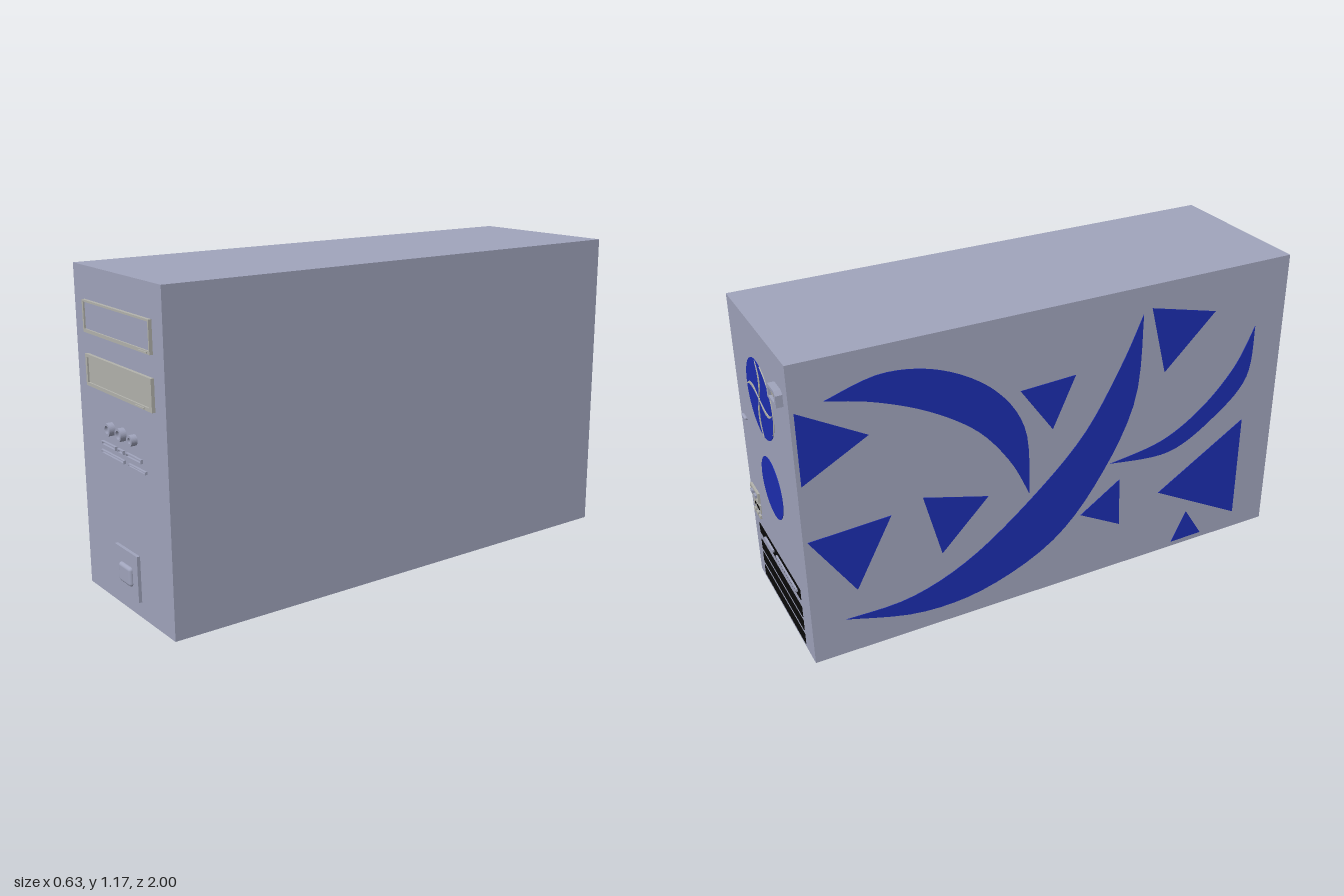
import * as THREE from 'three';
import { RoundedBoxGeometry } from 'three/addons/geometries/RoundedBoxGeometry.js';

const material = (color) => new THREE.MeshStandardMaterial({ color });
const W = 0.63, H = 1.17, FACE = 0.975;

export function createModel() {
  const model = new THREE.Group();
  const shell = material(0xa0a4bc), trim = material(0xb2b2ac);
  const blue = material(0x1c2db0), black = material(0x0a0a0a);

  const add = (parent, name, geometry, mat, x = 0, y = 0, z = 0) => {
    const mesh = new THREE.Mesh(geometry, mat);
    mesh.name = name;
    mesh.position.set(x, y, z);
    parent.add(mesh);
    return mesh;
  };
  // Panels: local z = 0 is the case wall, +z points outward
  const panel = (name, turn) => {
    const g = new THREE.Group();
    g.name = name;
    g.rotation.y = turn;
    g.position.z = turn ? -FACE : FACE;
    model.add(g);
    return g;
  };
  const plate = (parent, name, mat, x0, x1, y0, y1, z0, z1) =>
    add(parent, name, new THREE.BoxGeometry(x1 - x0, y1 - y0, z1 - z0), mat,
      (x0 + x1) / 2, (y0 + y1) / 2, (z0 + z1) / 2);
  const disc = (parent, name, mat, x, y, r, depth, z = 0) =>
    add(parent, name, new THREE.CylinderGeometry(r, r, depth, 40).rotateX(Math.PI / 2), mat, x, y, z + depth / 2);
  const extrude = (shape, depth) =>
    new THREE.ExtrudeGeometry(shape, { depth, bevelEnabled: false, curveSegments: 32 });
  const rect = (C, x0, x1, y0, y1) => new C().moveTo(x0, y0).lineTo(x1, y0).lineTo(x1, y1).lineTo(x0, y1).closePath();
  const frame = (parent, name, mat, o, i, depth) => {
    const shape = rect(THREE.Shape, ...o);
    shape.holes.push(rect(THREE.Path, ...i));
    return add(parent, name, extrude(shape, depth), mat);
  };
  const vectors = (pts) => pts.map(([x, y]) => new THREE.Vector2(x, y));
  // Pointed blade bounded by two smooth edges
  const crescent = (outer, inner) => new THREE.Shape([
    ...new THREE.SplineCurve(vectors(outer)).getPoints(28),
    ...new THREE.SplineCurve(vectors([outer.at(-1), ...inner, outer[0]])).getPoints(28).slice(1, -1),
  ]);

  plate(model, 'case', shell, -W / 2, W / 2, 0, H, -FACE, FACE);

  // Front panel: two drive bays
  const front = panel('frontPanel', 0);
  frame(front, 'upperDriveFrame', trim, [-0.235, 0.245, 0.943, 1.055], [-0.226, 0.239, 0.955, 1.048], 0.012);
  plate(front, 'upperDriveDoor', shell, -0.226, 0.239, 0.955, 1.048, 0, 0.006);
  plate(front, 'upperDriveButton', trim, 0.175, 0.23, 0.946, 0.951, 0, 0.016);
  frame(front, 'lowerDriveFrame', trim, [-0.232, 0.245, 0.757, 0.868], [-0.22, 0.226, 0.769, 0.857], 0.012);
  plate(front, 'lowerDriveDoor', trim, -0.22, 0.226, 0.769, 0.857, 0, 0.006);
  plate(front, 'lowerDriveButton', trim, 0.135, 0.195, 0.76, 0.765, 0, 0.016);

  // Round sockets with a raised rim
  for (const [x, r, hole] of [[-0.073, 0.023, 0.014], [0.01, 0.023, 0.015], [0.092, 0.019, 0.01]]) {
    const ring = new THREE.Shape().absarc(0, 0, r, 0, Math.PI * 2);
    ring.holes.push(new THREE.Path().absarc(0, 0, hole, 0, Math.PI * 2));
    add(front, 'socketRim', extrude(ring, 0.022), shell, x, 0.633);
    disc(front, 'socketCore', shell, x, 0.633, hole, 0.012);
  }

  // Narrow port strips
  for (const [x0, x1, y, h] of [[-0.148, -0.043, 0.57, 0.014], [-0.027, 0.015, 0.57, 0.014],
    [0.035, 0.142, 0.57, 0.014], [-0.155, 0.018, 0.538, 0.012], [0.05, 0.17, 0.538, 0.01]]) {
    frame(front, 'portFrame', shell, [x0, x1, y - h / 2, y + h / 2],
      [x0 + 0.004, x1 - 0.004, y - h / 2 + 0.003, y + h / 2 - 0.003], 0.009);
  }

  // Power button
  plate(front, 'powerPlate', shell, -0.078, 0.087, 0.058, 0.224, 0, 0.012);
  add(front, 'powerButton', new RoundedBoxGeometry(0.088, 0.07, 0.025, 3, 0.012), shell, 0.006, 0.138, 0.0115);

  // Rear panel, with x mirrored by the half turn
  const rear = panel('rearPanel', Math.PI);
  const fan = new THREE.Group();
  fan.name = 'upperFan';
  fan.position.set(-0.018, 0.897, 0);
  rear.add(fan);
  disc(fan, 'fanDisc', blue, 0, 0, 0.145, 0.002);
  const arm = crescent([[0, 0], [0.03, 0.05], [0.033, 0.1], [0.01, 0.144]], [[0.024, 0.1], [0.019, 0.052]]);
  for (let i = 0; i < 4; i++) {
    add(fan, 'fanArm', extrude(arm, 0.005), trim).rotation.z = i * Math.PI / 2 + 0.1;
  }
  disc(fan, 'fanHub', trim, 0, 0, 0.008, 0.005);
  add(fan, 'fanRim', new THREE.TorusGeometry(0.144, 0.003, 8, 32, Math.PI * 0.6), trim).rotation.z = -0.6;
  disc(rear, 'lowerFan', blue, 0.006, 0.556, 0.115, 0.002);

  // Power inlet with chamfered corners and three pins
  const inlet = new THREE.Shape(vectors([[0.175, 1.005], [0.265, 1.005], [0.265, 1.047],
    [0.252, 1.06], [0.188, 1.06], [0.175, 1.047]]));
  inlet.holes.push(rect(THREE.Path, 0.19, 0.25, 1.016, 1.049));
  add(rear, 'powerInlet', extrude(inlet, 0.024), shell);
  for (const x of [0.203, 0.22, 0.237]) plate(rear, 'inletPin', trim, x - 0.003, x + 0.003, 1.024, 1.04, 0, 0.018);

  // Small connectors
  add(rear, 'latch', new RoundedBoxGeometry(0.042, 0.014, 0.014, 2, 0.006), shell, -0.26, 0.711, 0.003);
  frame(rear, 'stackedPort', trim, [-0.292, -0.198, 0.372, 0.415], [-0.284, -0.206, 0.38, 0.407], 0.009);
  for (const x of [-0.265, -0.225]) plate(rear, 'portTongue', shell, x - 0.011, x + 0.011, 0.387, 0.4, 0, 0.014);
  plate(rear, 'networkPort', trim, -0.285, -0.198, 0.325, 0.362, 0, 0.004);
  for (const x of [-0.255, -0.23, -0.214]) plate(rear, 'networkContact', black, x - 0.005, x + 0.005, 0.338, 0.35, 0, 0.006);
  for (const x of [-0.275, -0.245, -0.215]) plate(rear, 'audioPort', trim, x - 0.009, x + 0.009, 0.298, 0.311, 0, 0.007);

  // Expansion slots, the top one fitted with two connectors
  for (const y of [0.233, 0.158, 0.098, 0.037]) plate(rear, 'expansionSlot', black, -0.253, 0.216, y - 0.022, y + 0.022, 0, 0.002);
  plate(rear, 'shortConnector', shell, -0.173, -0.075, 0.23, 0.24, 0, 0.01);
  plate(rear, 'longConnector', shell, -0.04, 0.19, 0.23, 0.24, 0, 0.008);

  // Decorated side: outlines given as (z, y)
  const triangles = [
    [[-0.96, 1.0], [-0.72, 0.86], [-0.96, 0.73]], [[0.37, 1.08], [0.65, 1.01], [0.44, 0.81]],
    [[-0.16, 0.88], [0.06, 0.89], [-0.03, 0.695]], [[-0.54, 0.56], [-0.29, 0.49], [-0.475, 0.305]],
    [[-0.96, 0.51], [-0.66, 0.525], [-0.8, 0.26]], [[0.264, 0.395], [0.272, 0.19], [0.097, 0.286]],
    [[0.826, 0.508], [0.826, 0.074], [0.448, 0.28]], [[0.59, 0.148], [0.668, 0.023], [0.527, 0.021]],
  ];
  const decals = triangles.map((t) => new THREE.Shape(vectors(t)));
  decals.push(
    crescent([[-0.86, 1.02], [-0.66, 1.07], [-0.45, 1.03], [-0.255, 0.905], [-0.14, 0.72], [-0.123, 0.45]],
      [[-0.2, 0.607], [-0.325, 0.765], [-0.5, 0.888], [-0.69, 0.973]]),
    crescent([[-0.85, 0.148], [-0.57, 0.074], [-0.3, 0.09], [-0.02, 0.213], [0.176, 0.434], [0.316, 0.726], [0.334, 1.064]],
      [[0.246, 0.875], [0.097, 0.632], [-0.123, 0.42], [-0.37, 0.242], [-0.606, 0.154]]),
    crescent([[0.844, 0.908], [0.826, 0.697], [0.685, 0.556], [0.483, 0.456], [0.22, 0.478]],
      [[0.448, 0.515], [0.624, 0.613], [0.764, 0.755]]),
  );
  const side = new THREE.Group();
  side.name = 'sideDecoration';
  side.position.x = -W / 2;
  side.rotation.y = -Math.PI / 2;
  model.add(side);
  for (const shape of decals) add(side, 'sideDecal', extrude(shape, 0.002), blue);

  return model;
}
